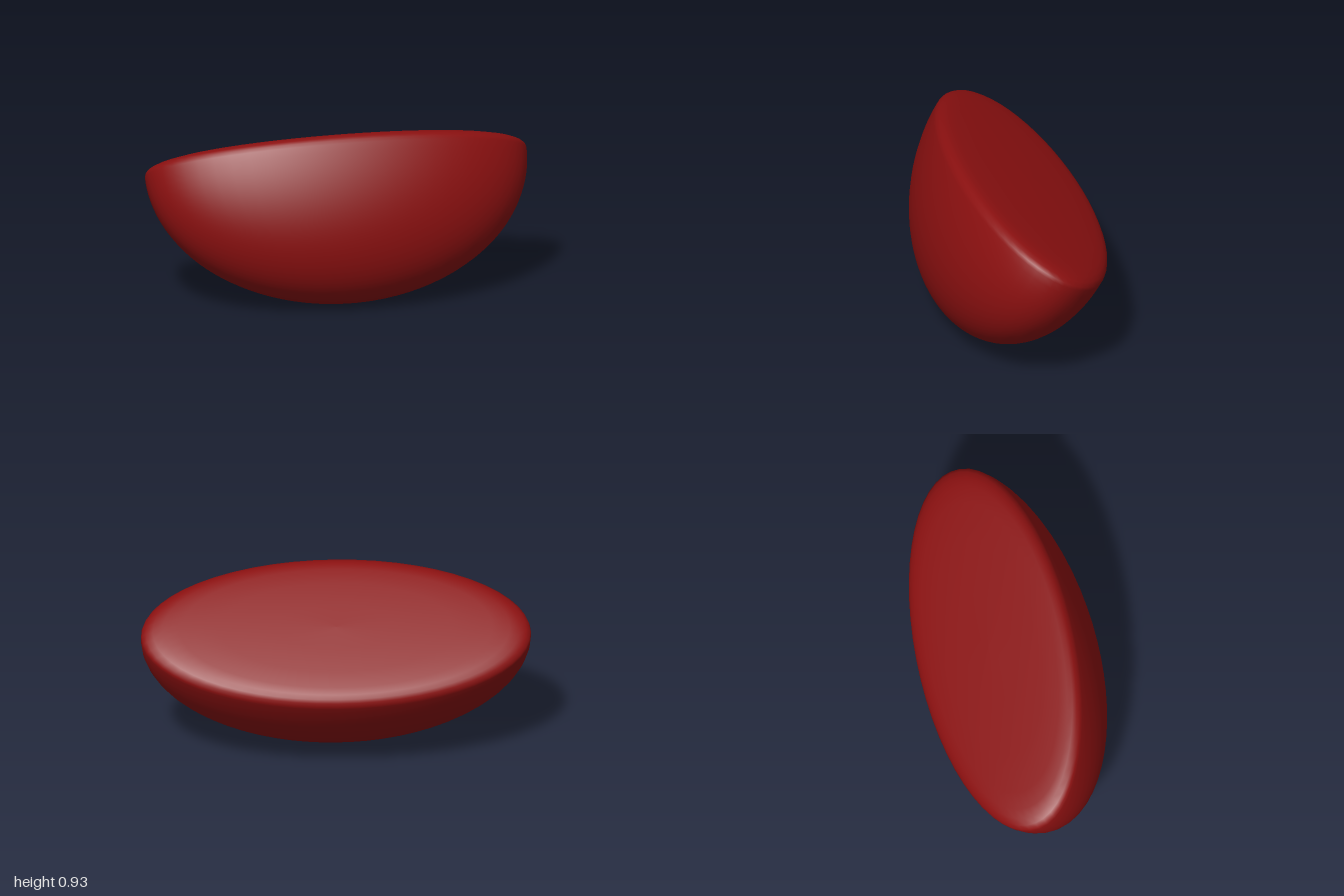
import * as THREE from 'three';

export function createModel() {
  const group = new THREE.Group();
  const material = new THREE.MeshStandardMaterial({ color: 0x8b1010 });

  // Profile: half ellipse for the bowl-shaped body, bottom to rim
  const depth = 0.735, steps = 28;
  const profile = [];
  for (let i = 0; i <= steps; i++) {
    const a = (i / steps) * Math.PI / 2;
    profile.push(new THREE.Vector2(Math.sin(a), -depth * Math.cos(a)));
  }
  // Softly rounded rim running into a nearly flat, slightly domed face
  const rim = [[0.995, 0.018], [0.975, 0.036], [0.94, 0.05], [0.89, 0.06], [0.8, 0.068], [0.6, 0.076], [0.3, 0.081], [0, 0.083]];
  for (const [r, y] of rim) profile.push(new THREE.Vector2(r, y));

  // Flattened front to back, then tilted so the face leans backwards
  const geometry = new THREE.LatheGeometry(profile, 56);
  geometry.scale(1, 1, 0.45);
  geometry.rotateX(-Math.PI / 6);

  const body = new THREE.Mesh(geometry, material);
  body.name = 'halfEllipsoidBody';
  body.position.set(0, 0.675, -0.071);
  group.add(body);
  return group;
}
